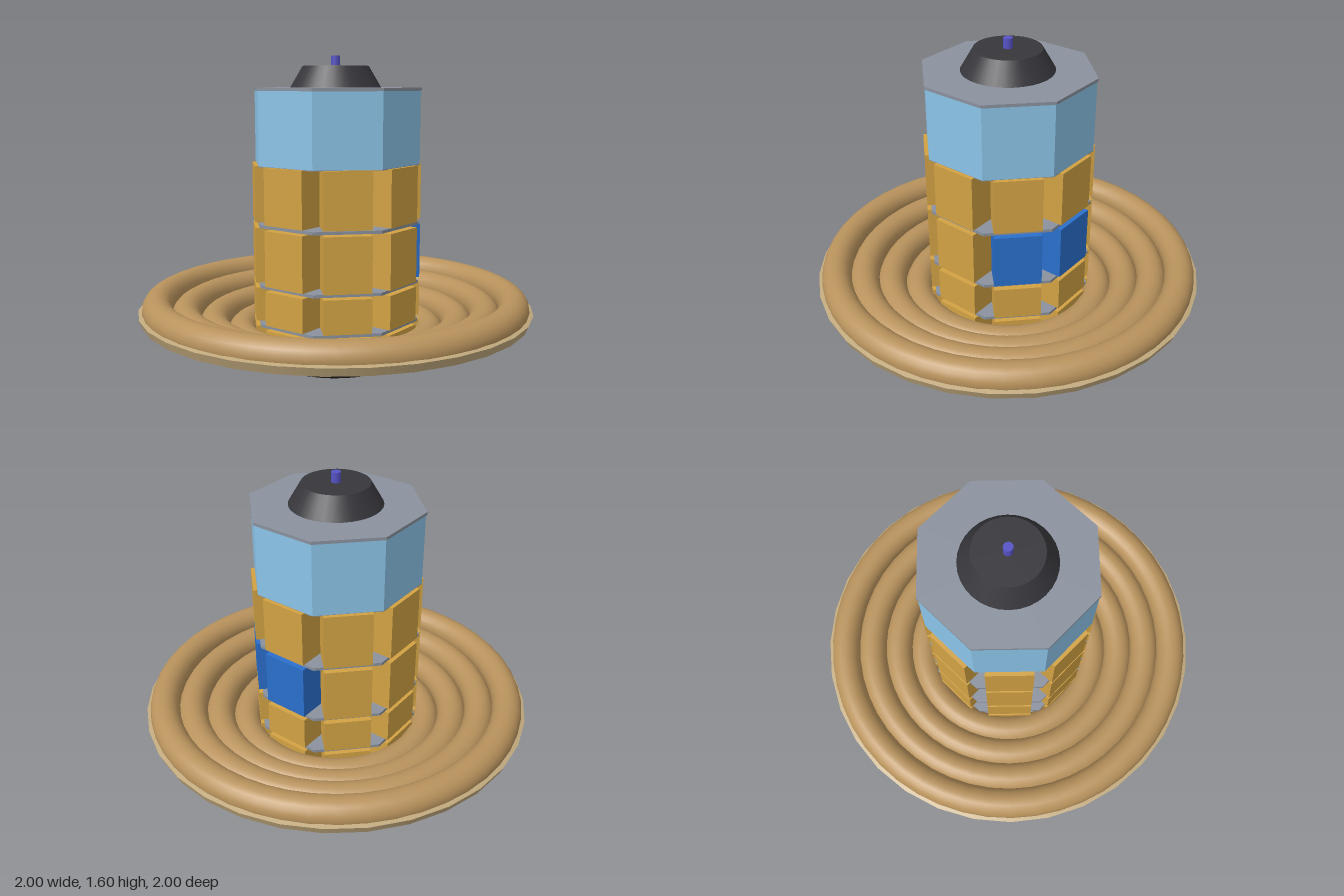
import * as THREE from 'three';

const mat = (color, opts = {}) => {
  const m = new THREE.MeshStandardMaterial(opts);
  m.color.set(color);
  return m;
};

export function createModel() {
  const group = new THREE.Group();
  const gold = mat(0xd2a244, { flatShading: true });
  const blue = mat(0x2a6fcc, { flatShading: true });
  const paleBlue = mat(0x8cc4e8, { flatShading: true });
  const grey = mat(0x8a929e, { flatShading: true });
  const dark = mat(0x36363b);
  const fabric = mat(0xb8925c);
  const shellMat = mat(0x74644c, { side: THREE.DoubleSide });
  const rimMat = mat(0xc0a87c, { side: THREE.DoubleSide });
  const noseMat = mat(0x2c2524, { side: THREE.DoubleSide });

  const add = (name, geometry, material, y = 0, parent = group) => {
    const mesh = new THREE.Mesh(geometry, material);
    mesh.name = name;
    mesh.position.y = y;
    parent.add(mesh);
    return mesh;
  };

  // Octagonal prism with flats facing the axes, given its flat distance and y range
  const octagon = (name, apothem, y0, y1, material) => {
    const r = apothem / Math.cos(Math.PI / 8);
    const g = new THREE.CylinderGeometry(r, r, y1 - y0, 8).rotateY(Math.PI / 8);
    return add(name, g, material, (y0 + y1) / 2);
  };

  // Surface of revolution from [radius, y] pairs
  const lathe = (name, pts, material) =>
    add(name, new THREE.LatheGeometry(pts.map(p => new THREE.Vector2(...p)), 32), material);

  // Heat shield: nose cap, conical skin, rim band
  lathe('noseCap', [[0, 0.005], [0.1, 0.009], [0.2, 0.02], [0.34, 0.06], [0.41, 0.095]], noseMat);
  lathe('shieldCone', [[0.41, 0.095], [0.985, 0.305]], shellMat);
  lathe('shieldRim', [[0.985, 0.305], [1.0, 0.345]], rimMat);
  lathe('shieldRimTop', [[1.0, 0.345], [0.95, 0.36]], rimMat);

  // Inflated rings stacked along the cone
  for (let i = 0; i < 4; i++) {
    const torus = new THREE.TorusGeometry(0.905 - i * 0.141, 0.0755, 20, 48).rotateX(Math.PI / 2);
    add('inflatableRing' + (i + 1), torus, fabric, 0.36 - i * 0.052);
  }

  // Body: inner core and grey decks between the equipment rows
  octagon('core', 0.26, 0.11, 1.08, grey);
  const decks = [[0.1, 0.115], [0.28, 0.295], [0.478, 0.493], [0.777, 0.792]];
  decks.forEach(([a, b]) => octagon('deck', 0.395, a, b, grey));

  // Equipment rows: eight boxes each, two of them blue in the third row
  const rows = [[0.12, 0.275], [0.3, 0.47], [0.495, 0.77], [0.797, 1.075]];
  const outer = 0.414, depth = 0.2;
  rows.forEach(([y0, y1], row) => {
    const ring = new THREE.Group();
    ring.name = 'equipmentRow' + (row + 1);
    group.add(ring);
    for (let i = 0; i < 8; i++) {
      const isBlue = row === 2 && (i === 2 || i === 3);
      const g = new THREE.BoxGeometry(0.232, y1 - y0, depth)
        .translate(0, 0, outer - depth / 2)
        .rotateY(i * Math.PI / 4);
      add(isBlue ? 'blueBox' : 'goldBox', g, isBlue ? blue : gold, (y0 + y1) / 2, ring);
    }
  });

  // Upper bay with its lid
  octagon('upperBay', 0.395, 1.077, 1.437, paleBlue);
  octagon('upperBayFloor', 0.394, 1.073, 1.077, grey);
  octagon('lid', 0.4, 1.435, 1.45, grey);

  // Top cone and pin
  add('topCone', new THREE.CylinderGeometry(0.165, 0.228, 0.107, 32), dark, 1.502);
  add('topPin', new THREE.CylinderGeometry(0.023, 0.023, 0.06, 16), mat(0x5552c4), 1.575);

  return group;
}
